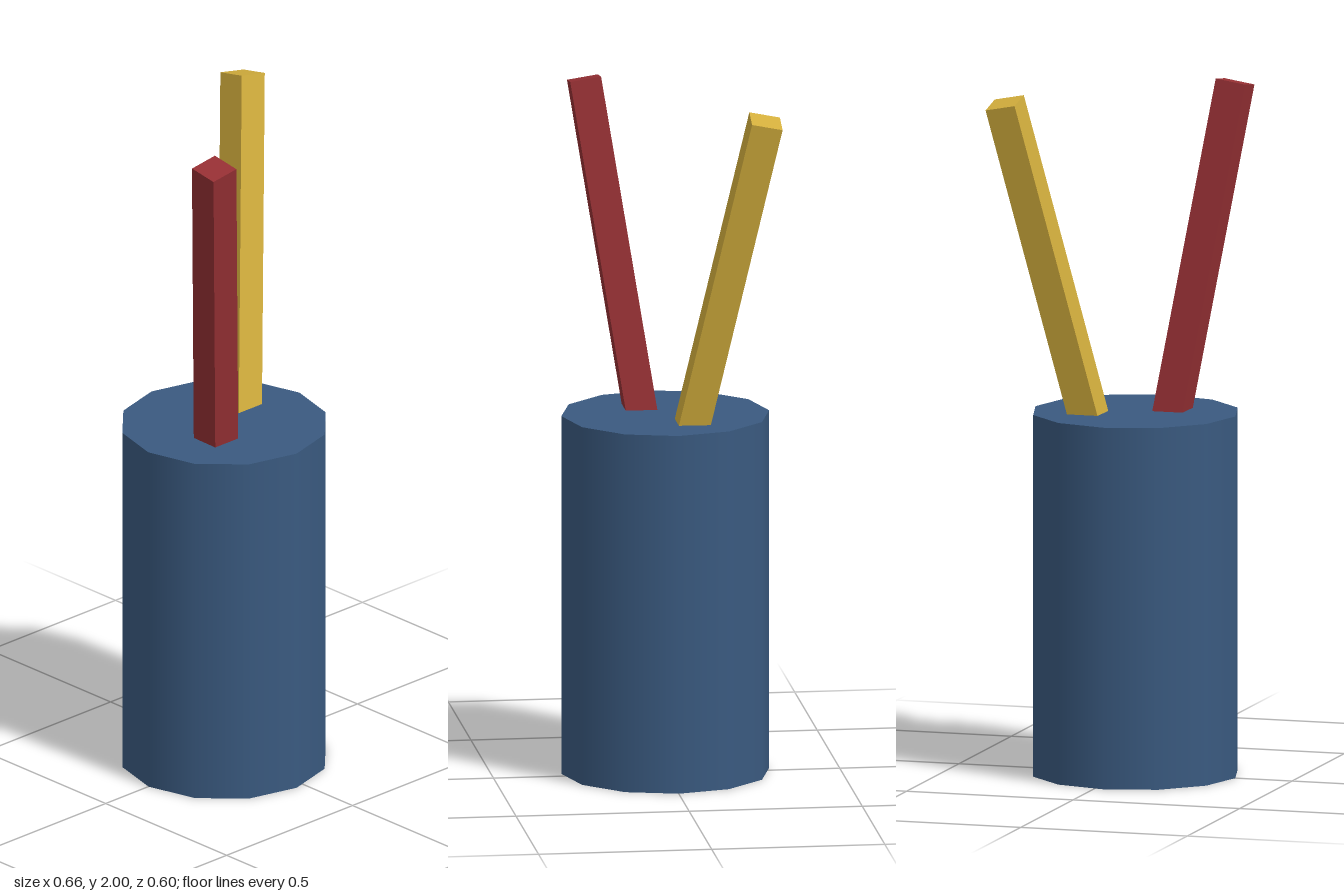
import * as THREE from 'three';

const mat = (name, color) => {
  const m = new THREE.MeshStandardMaterial({ color });
  m.name = name;
  return m;
};

// Square stick leaning outwards; (x, y, z) is the centre of its top end
function makeStick(name, material, x, y, z, tilt) {
  const length = 1.2;
  const geometry = new THREE.BoxGeometry(0.09, length, 0.09);
  geometry.translate(0, -length / 2, 0); // pivot at the top end
  const stick = new THREE.Mesh(geometry, material);
  stick.name = name;
  stick.position.set(x, y, z);
  stick.rotation.set(tilt, 0, tilt);
  return stick;
}

export function createModel() {
  const group = new THREE.Group();
  group.name = 'pencilHolder';

  // Twelve-sided cup with smooth sides and a closed top
  const cup = new THREE.Mesh(
    new THREE.CylinderGeometry(0.3, 0.3, 1.05, 12),
    mat('blue', 0x3a5a80)
  );
  cup.name = 'cup';
  cup.position.set(-0.03, 0.525, 0);
  group.add(cup);

  // Two pencils leaning to opposite corners
  group.add(makeStick('redPencil', mat('red', 0x963034), -0.265, 1.987, 0.204, 0.15));
  group.add(makeStick('yellowPencil', mat('yellow', 0xd4af3d), 0.284, 1.97, -0.25, -0.2));

  return group;
}
